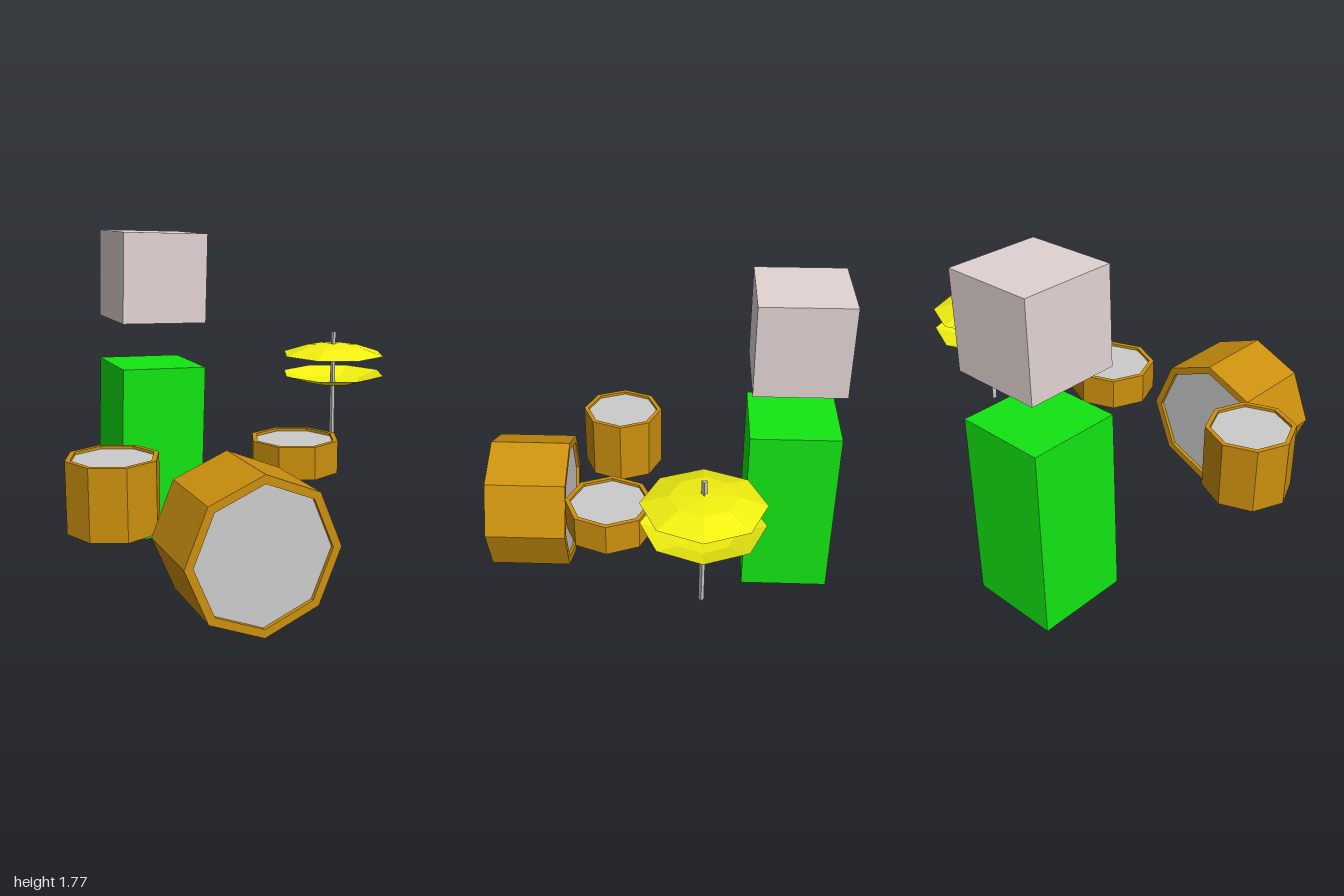
import * as THREE from 'three';

const mat = (color, side = THREE.FrontSide) =>
  new THREE.MeshStandardMaterial({ color, flatShading: true, side });

const wood = mat(0xcc900e);
const grey = mat(0xcccccc);
const brass = mat(0xf2f010, THREE.DoubleSide);
const green = mat(0x12e612);
const pink = mat(0xe3d3d3);

const lathe = (pts) =>
  new THREE.LatheGeometry(pts.map(([r, y]) => new THREE.Vector2(r, y)), 8);

function add(parent, name, geometry, material, x = 0, y = 0, z = 0) {
  const mesh = new THREE.Mesh(geometry, material);
  mesh.name = name;
  mesh.position.set(x, y, z);
  parent.add(mesh);
  return mesh;
}

// Eight-sided shell with a head recessed in each end, centred on its own axis (y)
function drum(name, radius, inner, height, recess) {
  const group = new THREE.Group();
  group.name = name;
  const h = height / 2;
  const d = h - recess;
  add(group, 'shell', lathe([
    [inner, -d], [inner, -h], [radius, -h], [radius, h], [inner, h], [inner, d],
  ]), wood);
  for (const s of [1, -1]) {
    const head = add(group, s > 0 ? 'topHead' : 'bottomHead',
      new THREE.CircleGeometry(inner, 8), grey, 0, s * d, 0);
    head.rotation.x = -s * Math.PI / 2;
  }
  return group;
}

export function createModel() {
  const model = new THREE.Group();
  model.name = 'drumKit';

  // Drums
  const bass = drum('bassDrum', 0.383, 0.34, 0.447, 0.02);
  bass.rotation.x = Math.PI / 2;
  bass.position.set(-0.28, 0.395, 0.738);
  const floorTom = drum('floorTom', 0.235, 0.209, 0.364, 0.015);
  floorTom.position.set(-0.765, 0.553, 0.25);
  const snare = drum('snareDrum', 0.235, 0.209, 0.17, 0.015);
  snare.position.set(0.21, 0.65, 0.25);
  model.add(bass, floorTom, snare);

  // Pair of cymbals on a three-sided pole
  const hiHat = new THREE.Group();
  hiHat.name = 'cymbalStand';
  hiHat.position.set(0.697, 0, -0.237);
  model.add(hiHat);
  add(hiHat, 'upperCymbal', lathe([[0.298, 1.072], [0.16, 1.117], [0, 1.13]]), brass);
  add(hiHat, 'lowerCymbal', lathe([[0, 0.9], [0.16, 0.913], [0.298, 0.958]]), brass);
  const pole = add(hiHat, 'pole', new THREE.CylinderGeometry(0.016, 0.016, 0.7, 3), grey, 0, 0.85, 0);
  pole.rotation.y = Math.PI / 2;

  // Leaning drummer: block body with a cube head floating above it
  const body = add(model, 'body', new THREE.BoxGeometry(0.487, 1.0, 0.487), green, -0.262, 0.51, -0.722);
  const head = add(model, 'head', new THREE.BoxGeometry(0.487, 0.5, 0.487), pink, -0.233, 1.515, -0.722);
  body.rotation.z = head.rotation.z = -0.033;

  return model;
}
